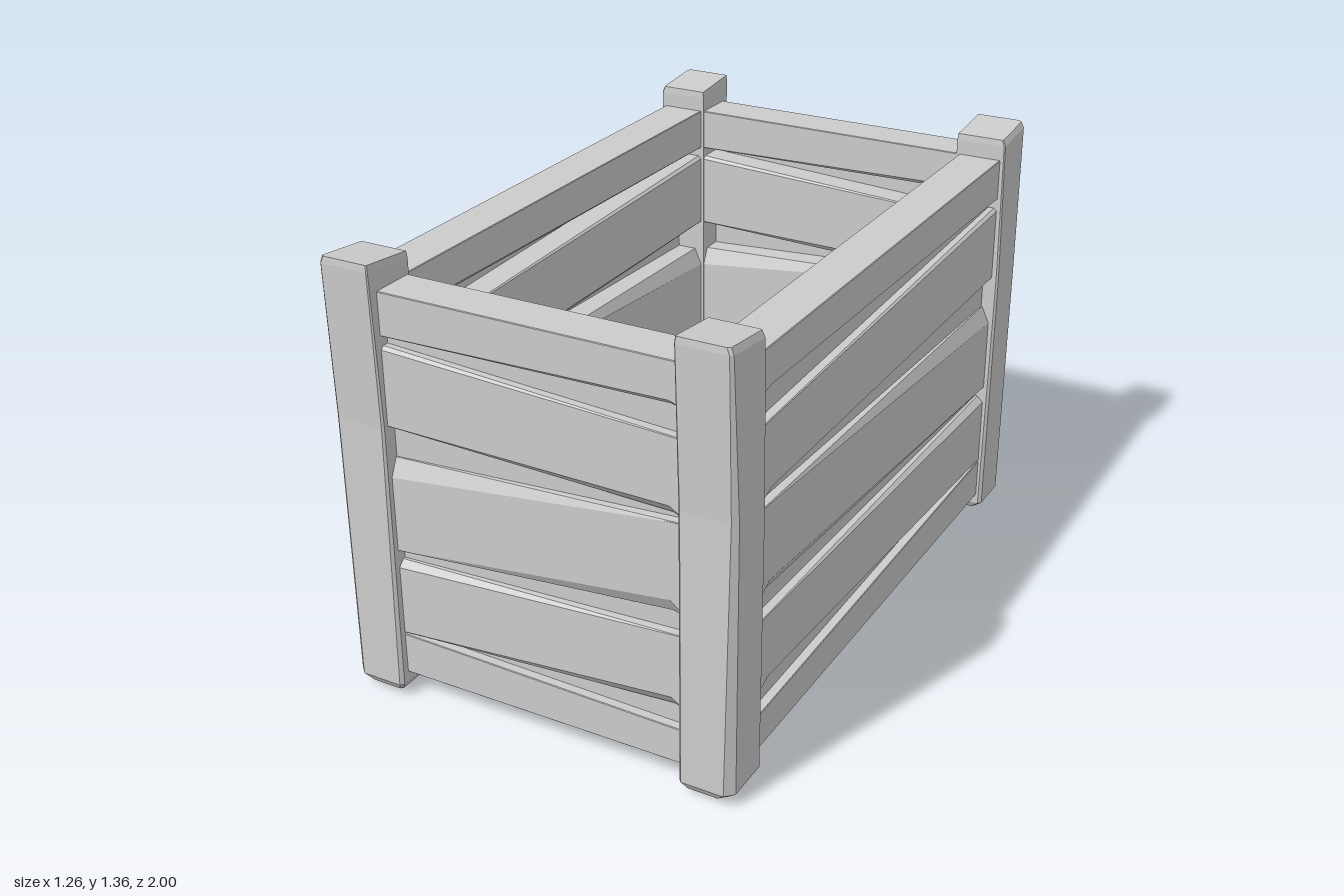
import * as THREE from 'three';

const mat = new THREE.MeshStandardMaterial({ color: 0xcccccc, flatShading: true });

// Closed faceted solid through rings of points, with fan caps around centre points
function loft(rings, startTip) {
  const pos = [];
  const tri = (a, b, c) => pos.push(...a, ...b, ...c);
  const n = rings[0].length;
  const mid = (r) => [0, 1, 2].map((k) => r.reduce((s, p) => s + p[k], 0) / n);
  const first = rings[0], last = rings[rings.length - 1];
  const a = startTip || mid(first), b = mid(last);
  for (let i = 0; i < n; i++) {
    const j = (i + 1) % n;
    for (let k = 0; k < rings.length - 1; k++) {
      const r = rings[k], s = rings[k + 1];
      tri(r[i], r[j], s[j]);
      tri(r[i], s[j], s[i]);
    }
    tri(a, first[j], first[i]);
    tri(b, last[i], last[j]);
  }
  const g = new THREE.BufferGeometry();
  g.setAttribute('position', new THREE.Float32BufferAttribute(pos, 3));
  g.computeVertexNormals();
  return g;
}

function add(parent, geometry, name) {
  const mesh = new THREE.Mesh(geometry, mat);
  mesh.name = name;
  parent.add(mesh);
  return mesh;
}

// Rough board along x: [low, high] at each end, thickness along z, uneven chamfers
function plank(half, thick, [lo0, hi0], [lo1, hi1], cutLow, cutHigh) {
  const h = thick / 2;
  const section = (t, cl, ch) => {
    const x = -half + 2 * half * t;
    const lo = lo0 + (lo1 - lo0) * t, hi = hi0 + (hi1 - hi0) * t;
    const dl = Math.min(0.025, cl), dh = Math.min(0.025, ch);
    return [
      [lo, -h + dl], [lo + cl, -h], [hi - ch, -h], [hi, -h + dh],
      [hi, h - dh], [hi - ch, h], [lo + cl, h], [lo, h - dl],
    ].map(([y, z]) => [x, y, z]);
  };
  const tiny = 0.002;
  return loft([
    section(0, tiny, cutHigh),
    section(0.95, Math.max(cutLow, tiny), tiny),
    section(1, tiny, tiny),
  ]);
}

// Boards of a wall: extent at the first end, extent at the far end, chamfers
const wallBoards = [
  [[0.077, 0.208], [0.08, 0.19], 0.002, 0.002],
  [[0.212, 0.45], [0.255, 0.49], 0.035, 0.02],
  [[0.485, 0.775], [0.55, 0.83], 0.045, 0.055],
  [[0.88, 1.12], [0.84, 1.07], 0.03, 0.01],
  [[1.15, 1.28], [1.155, 1.28], 0.015, 0.002],
];

// outward: which local z side faces out of the crate
function wall(name, half, outward) {
  const g = new THREE.Group();
  g.name = name;
  for (const [a, b, cl, ch] of wallBoards) add(g, plank(half, 0.137, a, b, cl, ch), 'wallPlank');
  // panel closing the gaps, set just behind the outer face
  const panel = add(g, new THREE.BoxGeometry(half * 2, 1.1, 0.02), 'wallPanel');
  panel.position.set(0, 0.68, outward * 0.03);
  return g;
}

// Floor slats: z extents at the -x end and at the +x end
const floorBoards = [
  [[-0.8, -0.56], [-0.75, -0.51]],
  [[-0.52, -0.23], [-0.46, -0.17]],
  [[-0.11, 0.13], [-0.065, 0.175]],
  [[0.16, 0.46], [0.225, 0.52]],
  [[0.56, 0.8], [0.515, 0.755]],
];

function floor() {
  const g = new THREE.Group();
  g.name = 'floor';
  for (const [a, b] of floorBoards) add(g, plank(0.48, 0.11, a, b, 0.006, 0.006), 'floorSlat');
  add(g, new THREE.BoxGeometry(0.96, 1.66, 0.02), 'floorPanel');
  g.rotation.x = Math.PI / 2;
  g.position.y = 0.15;
  return g;
}

// Corner post with clipped outer corners, a sloping top and a blunt pointed foot
function post(sx, sz) {
  const ring = (y, x0, x1, z0, z1, cut, slope = 0) => {
    const pts = [
      [x0, z0], [x0, z1 - cut * 0.4], [x0 + cut * 0.4, z1], [x1 - cut, z1],
      [x1, z1 - cut], [x1, z0 + cut * 0.4], [x1 - cut * 0.4, z0],
    ].map(([x, z]) => [x * sx, y + slope * (z - 0.91), z * sz]);
    // mirrored corners need the opposite order to keep facing outward
    return sx * sz < 0 ? pts.reverse() : pts;
  };
  return loft([
    ring(0.02, 0.475, 0.595, 0.84, 0.982, 0.02),
    ring(0.045, 0.46, 0.625, 0.825, 0.997, 0.025),
    ring(0.88, 0.46, 0.628, 0.826, 0.986, 0.015),
    ring(1.335, 0.46, 0.62, 0.825, 0.999, 0.008, 0.1),
    ring(1.355, 0.462, 0.612, 0.827, 0.997, 0.008, 0.1),
  ], [0.52 * sx, 0.004, 0.91 * sz]);
}

export function createModel() {
  const model = new THREE.Group();
  model.name = 'crate';

  for (const sx of [-1, 1]) for (const sz of [-1, 1]) add(model, post(sx, sz), 'cornerPost');

  // short walls across the front and back
  for (const s of [-1, 1]) {
    const w = wall(s > 0 ? 'frontWall' : 'backWall', 0.47, s);
    w.position.z = s * 0.897;
    model.add(w);
  }
  // long walls, same boards turned to run along z
  for (const s of [-1, 1]) {
    const w = wall(s > 0 ? 'leftWall' : 'rightWall', 0.835, -s);
    w.rotation.y = -Math.PI / 2;
    w.position.x = s * 0.538;
    model.add(w);
  }

  model.add(floor());
  return model;
}
